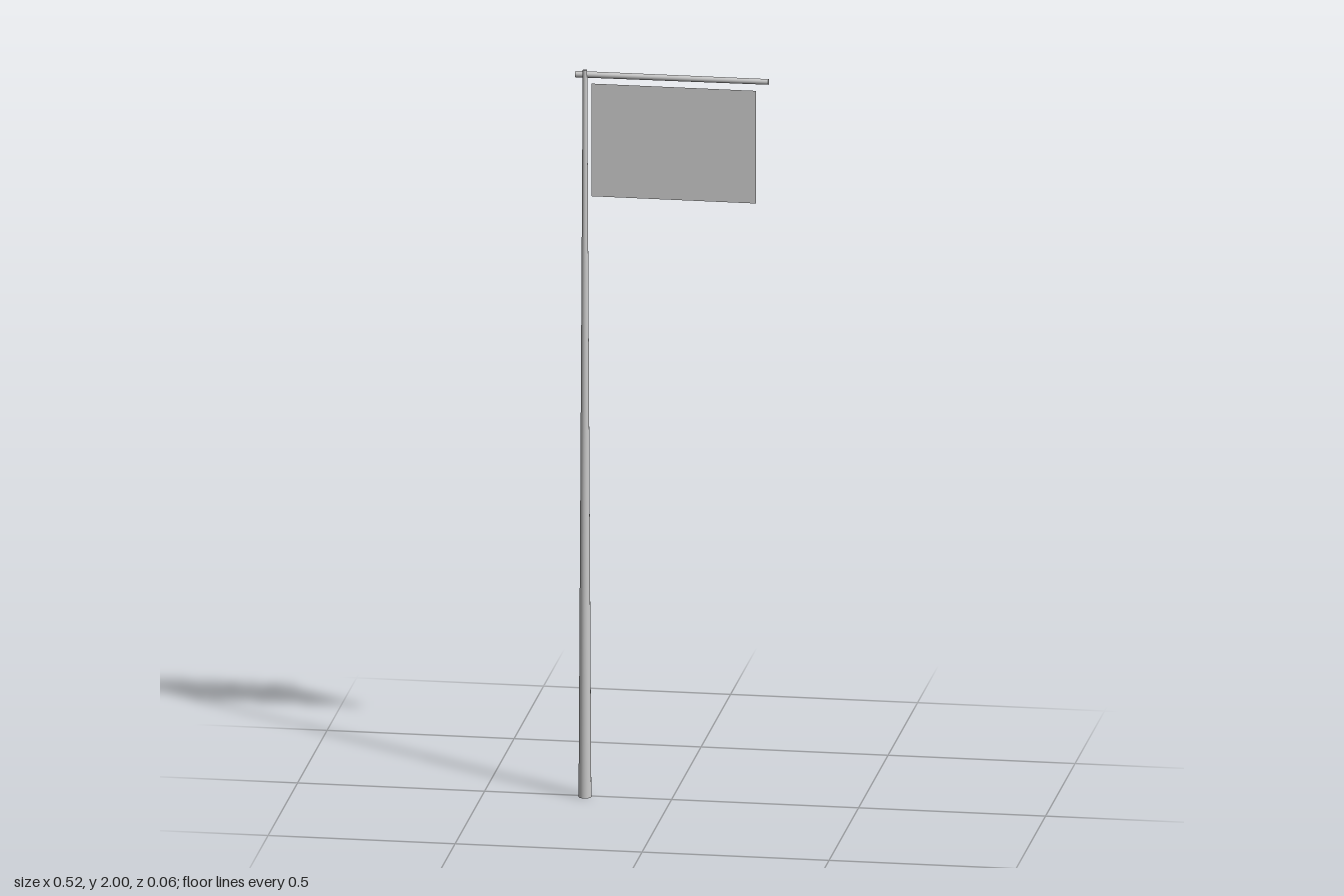
import * as THREE from 'three';

const material = new THREE.MeshStandardMaterial({ color: 0xcccccc });
const clothMaterial = new THREE.MeshStandardMaterial({ color: 0xcccccc, side: THREE.DoubleSide });

// Tapered round rod running from one point to another
function rod(name, from, to, startRadius, endRadius) {
  const a = new THREE.Vector3(...from);
  const b = new THREE.Vector3(...to);
  const direction = b.clone().sub(a);
  const geometry = new THREE.CylinderGeometry(endRadius, startRadius, direction.length(), 24);
  const mesh = new THREE.Mesh(geometry, material);
  mesh.name = name;
  mesh.position.copy(a).add(b).multiplyScalar(0.5);
  mesh.quaternion.setFromUnitVectors(new THREE.Vector3(0, 1, 0), direction.normalize());
  return mesh;
}

export function createModel() {
  const group = new THREE.Group();
  group.name = 'bannerPole';

  // Tall pole, narrowing towards the top
  group.add(rod('pole', [-0.23, 0, 0.01], [-0.23, 2, 0.01], 0.017, 0.006));

  // Crossbar resting behind the pole, slightly skewed
  group.add(rod('crossbar', [-0.26, 1.979, -0.02], [0.26, 1.988, 0.004], 0.0085, 0.0075));

  // Flat cloth hanging under the crossbar
  const flag = new THREE.Mesh(new THREE.PlaneGeometry(0.44, 0.31), clothMaterial);
  flag.name = 'flag';
  flag.position.set(0.007, 1.808, 0.008);
  group.add(flag);

  return group;
}
